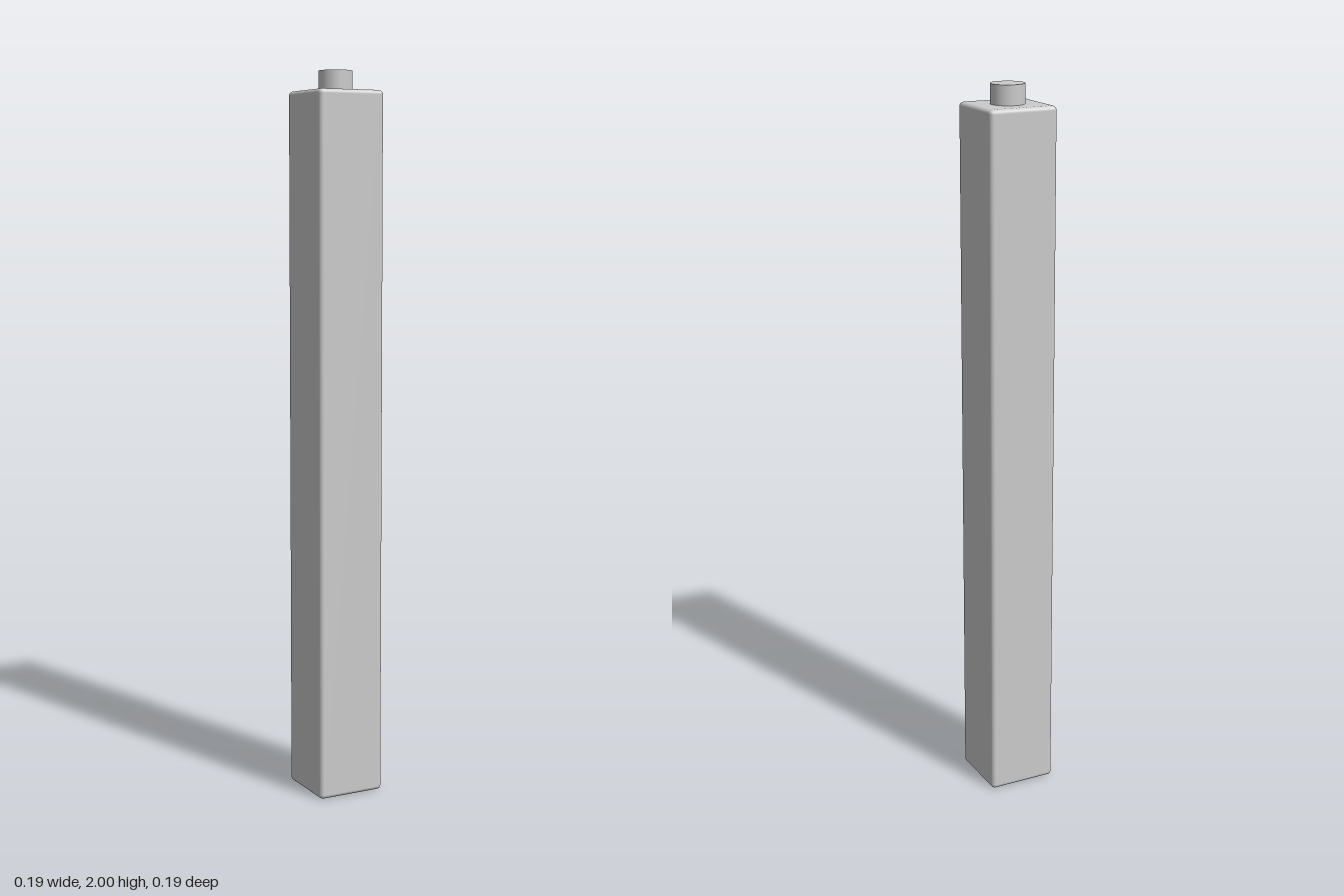
import * as THREE from 'three';
import { RoundedBoxGeometry } from 'three/addons/geometries/RoundedBoxGeometry.js';

const WIDTH = 0.194, HEIGHT = 1.947, ROUND = 0.012;
const OPENING = 0.158, DEPTH = 0.055;

const grey = new THREE.MeshStandardMaterial({ color: 0xcccccc });

function addPart(group, name, geometry, y) {
  const mesh = new THREE.Mesh(geometry, grey);
  mesh.name = name;
  mesh.position.y = y;
  group.add(mesh);
}

// Square outline, as a shape or a hole
function square(size, path) {
  const h = size / 2;
  path.moveTo(-h, -h).lineTo(h, -h).lineTo(h, h).lineTo(-h, h).closePath();
  return path;
}

// Rounded column whose flat underside is left out for the socket
function openColumn() {
  const geometry = new RoundedBoxGeometry(WIDTH, HEIGHT, WIDTH, 4, ROUND);
  const { position, normal } = geometry.attributes;
  const points = [], normals = [];
  for (let i = 0; i < position.count; i += 3) {
    const corners = [i, i + 1, i + 2];
    if (corners.every((c) => position.getY(c) < -HEIGHT / 2 + 1e-5)) continue;
    for (const c of corners) {
      points.push(position.getX(c), position.getY(c), position.getZ(c));
      normals.push(normal.getX(c), normal.getY(c), normal.getZ(c));
    }
  }
  const open = new THREE.BufferGeometry();
  open.setAttribute('position', new THREE.Float32BufferAttribute(points, 3));
  open.setAttribute('normal', new THREE.Float32BufferAttribute(normals, 3));
  return open;
}

export function createModel() {
  const model = new THREE.Group();
  model.name = 'column';

  addPart(model, 'shaft', openColumn(), HEIGHT / 2);

  // Round peg on top
  const pegHeight = 2 - HEIGHT;
  addPart(model, 'peg', new THREE.CylinderGeometry(0.046, 0.046, pegHeight, 48), HEIGHT + pegHeight / 2);

  // Rim and inner walls of the square socket underneath
  const frame = square(WIDTH - 2 * ROUND, new THREE.Shape());
  frame.holes.push(square(OPENING, new THREE.Path()));
  const walls = new THREE.ExtrudeGeometry(frame, { depth: DEPTH, bevelEnabled: false });
  addPart(model, 'socketWalls', walls.rotateX(-Math.PI / 2), 0);

  // Socket ceiling, facing down
  const ceiling = new THREE.PlaneGeometry(OPENING, OPENING).rotateX(Math.PI / 2);
  addPart(model, 'socketCeiling', ceiling, DEPTH);

  return model;
}
